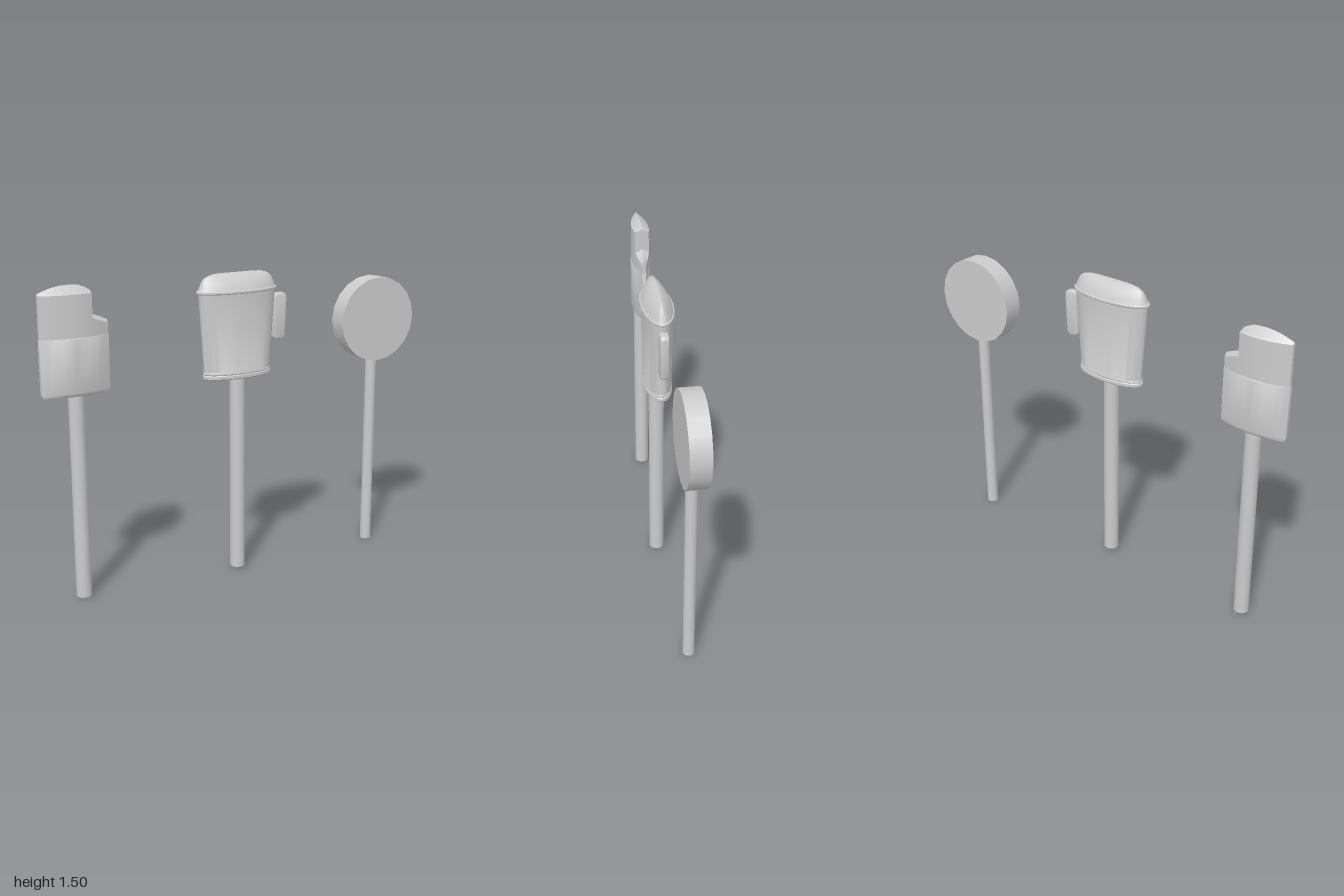
import * as THREE from 'three';
import { toCreasedNormals } from 'three/addons/utils/BufferGeometryUtils.js';

const material = new THREE.MeshStandardMaterial({ color: 0xcccccc });
const openMaterial = new THREE.MeshStandardMaterial({ color: 0xcccccc, side: THREE.DoubleSide });

function part(name, geometry, parent, mat = material) {
  const mesh = new THREE.Mesh(geometry, mat);
  mesh.name = name;
  parent.add(mesh);
  return mesh;
}

// Skin between rings of [x, y, z] points, listed bottom to top, anticlockwise from above
function loft(rings, crease = 0.6) {
  const n = rings[0].length, index = [];
  for (let r = 0; r < rings.length - 1; r++) {
    for (let i = 0; i < n; i++) {
      const a = r * n + i, b = r * n + (i + 1) % n;
      index.push(a, b, b + n, a, b + n, a + n);
    }
  }
  const geometry = new THREE.BufferGeometry();
  geometry.setAttribute('position', new THREE.Float32BufferAttribute(rings.flat(2), 3));
  geometry.setIndex(index);
  return toCreasedNormals(geometry, crease);
}

function pole(parent, x, z, radius, bottom, top, open) {
  const geometry = new THREE.CylinderGeometry(radius, radius, top - bottom, 16, 1, open);
  part('pole', geometry, parent, open ? openMaterial : material).position.set(x, (top + bottom) / 2, z);
}

// Elliptical section of the mug
function ellipse(y, halfWidth, halfDepth, cx) {
  return Array.from({ length: 40 }, (_, i) => {
    const t = i / 40 * Math.PI * 2;
    return [cx + halfWidth * Math.cos(t), y, -halfDepth * Math.sin(t)];
  });
}

function mugSign() {
  const group = new THREE.Group(), cx = -0.022;
  group.name = 'mugSign';
  const skin = rows => loft(rows.map(([y, w, d]) => ellipse(y, w, d, cx)));
  part('mugBody', skin([
    [1.0, 0, 0], [1.0, 0.176, 0.064], [1.005, 0.181, 0.069], [1.018, 0.181, 0.069],
    [1.022, 0.176, 0.065], [1.026, 0.18, 0.068], [1.033, 0.179, 0.067],
    [1.035, 0.176, 0.066], [1.415, 0.203, 0.069], [1.415, 0, 0],
  ]), group);
  part('mugRim', skin([
    [1.412, 0, 0], [1.412, 0.208, 0.073], [1.416, 0.213, 0.077],
    [1.424, 0.213, 0.077], [1.428, 0.208, 0.073], [1.428, 0, 0],
  ]), group);
  part('mugLid', skin([
    [1.426, 0.206, 0.071], [1.445, 0.197, 0.063], [1.465, 0.19, 0.051],
    [1.483, 0.178, 0.036], [1.496, 0.155, 0.021], [1.503, 0.125, 0.009], [1.505, 0.09, 0],
  ]), group);

  // Solid rounded handle leaning with the wall
  const shape = new THREE.Shape();
  const r = 0.014, w = 0.024, h = 0.104;
  shape.moveTo(-w + r, -h).lineTo(w - r, -h).quadraticCurveTo(w, -h, w, -h + r)
    .lineTo(w, h - r).quadraticCurveTo(w, h, w - r, h)
    .lineTo(-w + r, h).quadraticCurveTo(-w, h, -w, h - r)
    .lineTo(-w, -h + r).quadraticCurveTo(-w, -h, -w + r, -h);
  const handle = new THREE.ExtrudeGeometry(shape, {
    depth: 0.022, bevelThickness: 0.01, bevelSize: 0.01, bevelSegments: 2, curveSegments: 5,
  }).translate(0, 0, -0.011);
  const mesh = part('mugHandle', toCreasedNormals(handle, 0.6), group);
  mesh.position.set(0.205, 1.275, 0);
  mesh.rotation.z = -0.05;
  pole(group, cx, 0.002, 0.037, 0.015, 1.005, true);
  return group;
}

function lighterSign() {
  const group = new THREE.Group(), cx = -0.835, cz = -0.032;
  group.name = 'lighterSign';
  // Lens section between x0 and x1; depth scales it, y may vary along x
  const section = (x0, x1, yAt, depth, n = 10) => {
    const xs = Array.from({ length: n + 1 }, (_, i) => x1 + (x0 - x1) * i / n);
    const point = (x, side) => {
      const u = (x - cx) / 0.165;
      const half = 0.008 + 0.036 * Math.max(0, 1 - u * u);
      return [x, yAt(x), cz + side * depth * half];
    };
    return [...xs.map(x => point(x, -1)), ...xs.reverse().map(x => point(x, 1))];
  };
  const flat = y => () => y;
  const L = -0.998, R = -0.672, S = -0.755;

  // Case with a rounded foot
  part('lighterCase', loft([
    section(L + 0.01, R - 0.01, flat(1), 0), section(L + 0.01, R - 0.01, flat(1), 0.86),
    section(L + 0.002, R - 0.002, flat(1.006), 1), section(L - 0.002, R + 0.002, flat(1.018), 1.08),
    section(L - 0.002, R + 0.002, flat(1.265), 1.08), section(L, R, flat(1.27), 1),
    section(L, R, flat(1.27), 0),
  ]), group);

  // Upper parts end in a ridge along the middle
  const crown = x => 1.505 - 1.5 * (x + 0.855) ** 2 - (x > -0.8 ? (x + 0.8) * 0.25 : 0);
  part('lighterCap', loft([
    section(L, S, flat(1.265), 1), section(L, S, flat(1.465), 1), section(L, S, crown, 0),
  ], 0.5), group);
  const slope = top => x => top - 0.42 * (x - S);
  part('lighterShoulder', loft([
    section(S, R, flat(1.265), 1), section(S, R, slope(1.352), 1), section(S, R, slope(1.37), 0),
  ], 0.5), group);
  pole(group, cx, cz, 0.037, 0.01, 1.005, false);
  return group;
}

function discSign() {
  const group = new THREE.Group();
  group.name = 'discSign';
  const disc = new THREE.CylinderGeometry(0.215, 0.215, 0.096, 20).rotateX(Math.PI / 2);
  part('disc', disc, group).position.set(0.783, 1.205, -0.03);
  pole(group, 0.781, -0.032, 0.028, 0, 0.995, true);
  return group;
}

export function createModel() {
  const model = new THREE.Group();
  model.name = 'signs';
  model.add(lighterSign(), mugSign(), discSign());
  return model;
}
